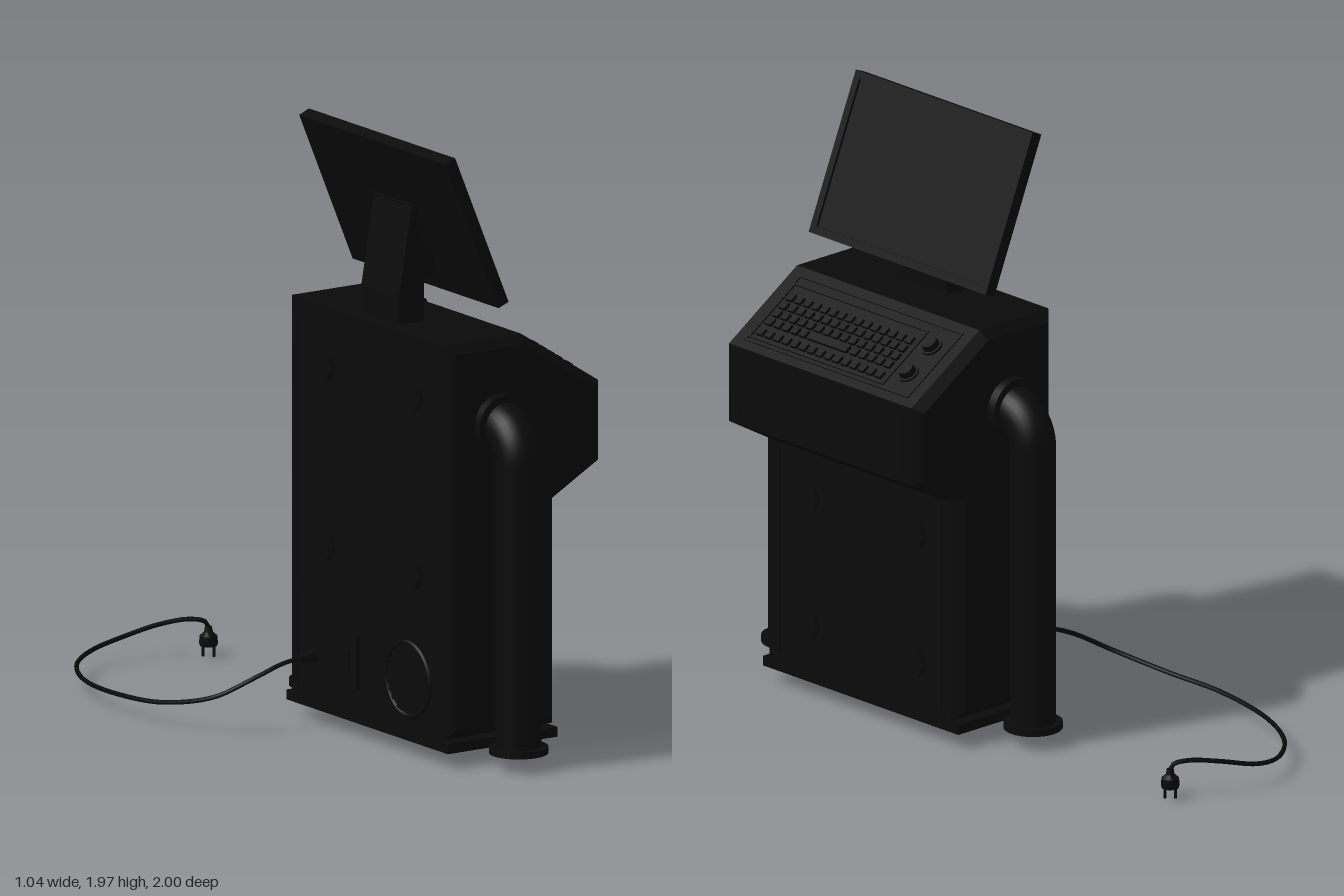
import * as THREE from 'three';
import { mergeGeometries, toCreasedNormals } from 'three/addons/utils/BufferGeometryUtils.js';

const dark = new THREE.MeshStandardMaterial({ color: 0x0a0a0a });
const MID = 0.35; // z of the cabinet's middle plane

function add(parent, name, geo, x = 0, y = 0, z = 0) {
  const m = new THREE.Mesh(geo, dark);
  m.name = name;
  m.position.set(x, y, z);
  parent.add(m);
  return m;
}
const box = (w, h, d) => new THREE.BoxGeometry(w, h, d);
const cyl = (r1, r2, h, n = 32) => new THREE.CylinderGeometry(r1, r2, h, n);
const shapeOf = pts => new THREE.Shape(pts.map(p => new THREE.Vector2(...p)));
const extrude = (shape, depth) => new THREE.ExtrudeGeometry(shape, { depth, bevelEnabled: false, curveSegments: 16 });

// Rectangular rim lying in the xy plane, facing +z
function rim(w, h, t, depth) {
  const rect = (a, b) => [[-a, -b], [a, -b], [a, b], [-a, b]];
  const s = shapeOf(rect(w / 2, h / 2));
  s.holes.push(shapeOf(rect(w / 2 - t, h / 2 - t)));
  return extrude(s, depth);
}

// Slotted fastener: disc with two raised segments
function fastener(parent, x, y, z, side) {
  const g = new THREE.Group();
  g.name = 'slottedFastener';
  add(g, 'disc', cyl(0.058, 0.058, 0.006).rotateX(Math.PI / 2), 0, 0, 0.003);
  const seg = new THREE.Shape();
  seg.absarc(0, 0, 0.054, 0.16, Math.PI - 0.16);
  for (const r of [0, Math.PI]) add(g, 'raisedHalf', extrude(seg, 0.012)).rotation.z = r;
  g.position.set(x, y, z);
  g.rotation.y = side * Math.PI / 2;
  parent.add(g);
}

function cabinet(root) {
  const g = new THREE.Group();
  g.name = 'cabinet';
  root.add(g);
  const profile = shapeOf([[-0.08, 0.09], [0.34, 0.09], [0.34, 0.82], [0.515, 0.92],
    [0.515, 1.18], [0.22, 1.37], [-0.08, 1.37]]);
  const body = new THREE.ExtrudeGeometry(profile, {
    depth: 0.84, bevelEnabled: true, bevelSegments: 1, bevelSize: 0.03, bevelOffset: -0.03, bevelThickness: 0.03 });
  add(g, 'body', toCreasedNormals(body, 0.3), 0, 0, -0.07);
  add(g, 'plinth', box(0.41, 0.05, 0.755), 0.13, 0.075, MID);
  add(g, 'basePlate', box(0.42, 0.032, 0.9), 0.13, 0.066, MID);

  // Front and rear panel rims
  const front = rim(0.755, 0.7, 0.008, 0.005).rotateY(Math.PI / 2);
  add(g, 'frontPanelRim', front, 0.338, 0.46, MID);
  add(g, 'consolePanelRim', rim(0.755, 0.2, 0.008, 0.004).rotateY(Math.PI / 2), 0.513, 1.05, MID);
  add(g, 'rearPanelRim', rim(0.78, 0.85, 0.008, 0.005).rotateY(-Math.PI / 2), -0.078, 0.88, MID);
  add(g, 'rearLowerRim', rim(0.78, 0.32, 0.008, 0.005).rotateY(-Math.PI / 2), -0.078, 0.26, MID);
  for (const z of [0.11, 0.6]) {
    for (const y of [0.245, 0.67]) fastener(g, 0.34, y, z, 1);
    for (const y of [0.6, 1.18]) fastener(g, -0.08, y, z, -1);
  }

  // Rear vent: ring with slats
  const vent = new THREE.Group();
  vent.name = 'rearVent';
  vent.position.set(-0.08, 0.25, 0.58);
  vent.rotation.y = -Math.PI / 2;
  g.add(vent);
  add(vent, 'ring', new THREE.TorusGeometry(0.12, 0.009, 8, 40));
  for (let i = -4; i <= 4; i++) {
    const y = i * 0.025;
    add(vent, 'slat', box(2 * Math.sqrt(0.12 ** 2 - y * y), 0.01, 0.012), 0, y, 0);
  }

  // Rear power inlet
  add(g, 'powerInlet', box(0.016, 0.17, 0.29), -0.087, 0.25, 0.165);
  add(g, 'powerSwitch', box(0.01, 0.07, 0.09), -0.096, 0.25, 0.23);
}

function controls(root) {
  // Local y is the normal of the sloping console face
  const g = new THREE.Group();
  g.name = 'controlDesk';
  g.position.set(0.3675, 1.275, MID);
  g.rotation.z = -Math.atan2(0.19, 0.295);
  root.add(g);
  add(g, 'deskRim', rim(0.29, 0.755, 0.008, 0.005).rotateX(-Math.PI / 2), 0, -0.001, 0);
  add(g, 'keyboardRim', rim(0.24, 0.62, 0.006, 0.006).rotateX(-Math.PI / 2), 0.01, -0.001, 0.06);
  const keys = [];
  for (let r = 0; r < 5; r++) {
    for (let c = 0; c < 15; c++) {
      if (r === 4 && c > 4 && c < 10) continue;
      keys.push(box(0.027, 0.014, 0.027).translate(-0.09 + (4 - r === 4 ? 0.17 : r * 0.036 - 0.02) + 0.02,
        0.004, 0.335 - c * 0.039));
    }
  }
  keys.push(box(0.027, 0.014, 0.18).translate(0.054, 0.004, 0.065));
  add(g, 'keys', mergeGeometries(keys));
  // Two round knobs
  for (const x of [-0.06, 0.06]) {
    add(g, 'knobCollar', cyl(0.036, 0.036, 0.008), x, 0.004, -0.305);
    add(g, 'knob', cyl(0.025, 0.03, 0.026, 24), x, 0.015, -0.305);
  }
}

function monitor(root) {
  // Bent neck with a gusset reaching to the back of the display
  const neck = shapeOf([[-0.03, 1.365], [0.065, 1.365], [0.065, 1.5], [0.115, 1.535],
    [0.05, 1.74], [0.02, 1.755], [0, 1.64], [-0.03, 1.46]]);
  add(root, 'monitorNeck', extrude(neck, 0.21), 0, 0, MID - 0.105);
  const g = new THREE.Group();
  g.name = 'monitor';
  g.position.set(0.06, 1.715, MID);
  g.rotation.z = Math.atan2(0.205, 0.495);
  root.add(g);
  add(g, 'display', box(0.032, 0.535, 0.815), -0.004, 0, 0);
  add(g, 'bezel', rim(0.815, 0.535, 0.025, 0.009).rotateY(Math.PI / 2), 0.012, 0, 0);
  add(g, 'backPlate', box(0.01, 0.16, 0.24), -0.022, -0.03, 0);
}

function sidePipe(root, s) {
  // s = +1 or -1 for the two sides of the cabinet
  const g = new THREE.Group();
  g.name = 'sidePipe';
  g.position.set(0.117, 0, MID);
  if (s < 0) g.rotation.y = Math.PI;
  root.add(g);
  const V = (y, z) => new THREE.Vector3(0, y, z);
  const path = new THREE.CurvePath();
  path.add(new THREE.LineCurve3(V(0.06, 0.558), V(0.99, 0.558)));
  path.add(new THREE.CubicBezierCurve3(V(0.99, 0.558), V(1.05, 0.558), V(1.1, 0.51), V(1.1, 0.45)));
  path.add(new THREE.LineCurve3(V(1.1, 0.45), V(1.1, 0.43)));
  add(g, 'pipe', new THREE.TubeGeometry(path, 120, 0.073, 28));
  add(g, 'floorFlange', cyl(0.094, 0.094, 0.022), 0, 0.061, 0.558);
  add(g, 'wallFlange', cyl(0.095, 0.095, 0.034).rotateX(Math.PI / 2), 0, 1.1, 0.464);
}

function powerCable(root) {
  const g = new THREE.Group();
  g.name = 'powerCable';
  root.add(g);
  const pts = [[-0.13, 0.23, 0.08], [-0.22, 0.222, 0.085], [-0.32, 0.185, 0.07], [-0.42, 0.125, 0],
    [-0.49, 0.08, -0.18], [-0.514, 0.065, -0.4], [-0.47, 0.055, -0.66], [-0.36, 0.055, -0.86],
    [-0.22, 0.06, -0.97], [-0.11, 0.075, -0.992], [0.02, 0.108, -0.962], [0.11, 0.122, -0.92],
    [0.155, 0.112, -0.893], [0.162, 0.085, -0.888]].map(p => new THREE.Vector3(...p));
  add(g, 'cable', new THREE.TubeGeometry(new THREE.CatmullRomCurve3(pts), 120, 0.0075, 8));
  add(g, 'strainRelief', cyl(0.014, 0.024, 0.07, 16).rotateZ(Math.PI / 2), -0.12, 0.23, 0.08);
  // Plug with two prongs
  const profile = [[0, 0.035], [0.027, 0.035], [0.03, 0.045], [0.028, 0.068], [0.014, 0.08], [0.011, 0.098], [0, 0.098]];
  const plug = new THREE.LatheGeometry(profile.map(p => new THREE.Vector2(...p)), 20);
  add(g, 'plug', toCreasedNormals(plug, 0.6), 0.162, 0, -0.888);
  for (const d of [-0.012, 0.012]) {
    add(g, 'prong', cyl(0.005, 0.005, 0.04, 10), 0.162 + d, 0.02, -0.888 + d);
  }
}

export function createModel() {
  const root = new THREE.Group();
  root.name = 'computerKiosk';
  cabinet(root);
  controls(root);
  monitor(root);
  for (const s of [1, -1]) sidePipe(root, s);
  powerCable(root);
  return root;
}
